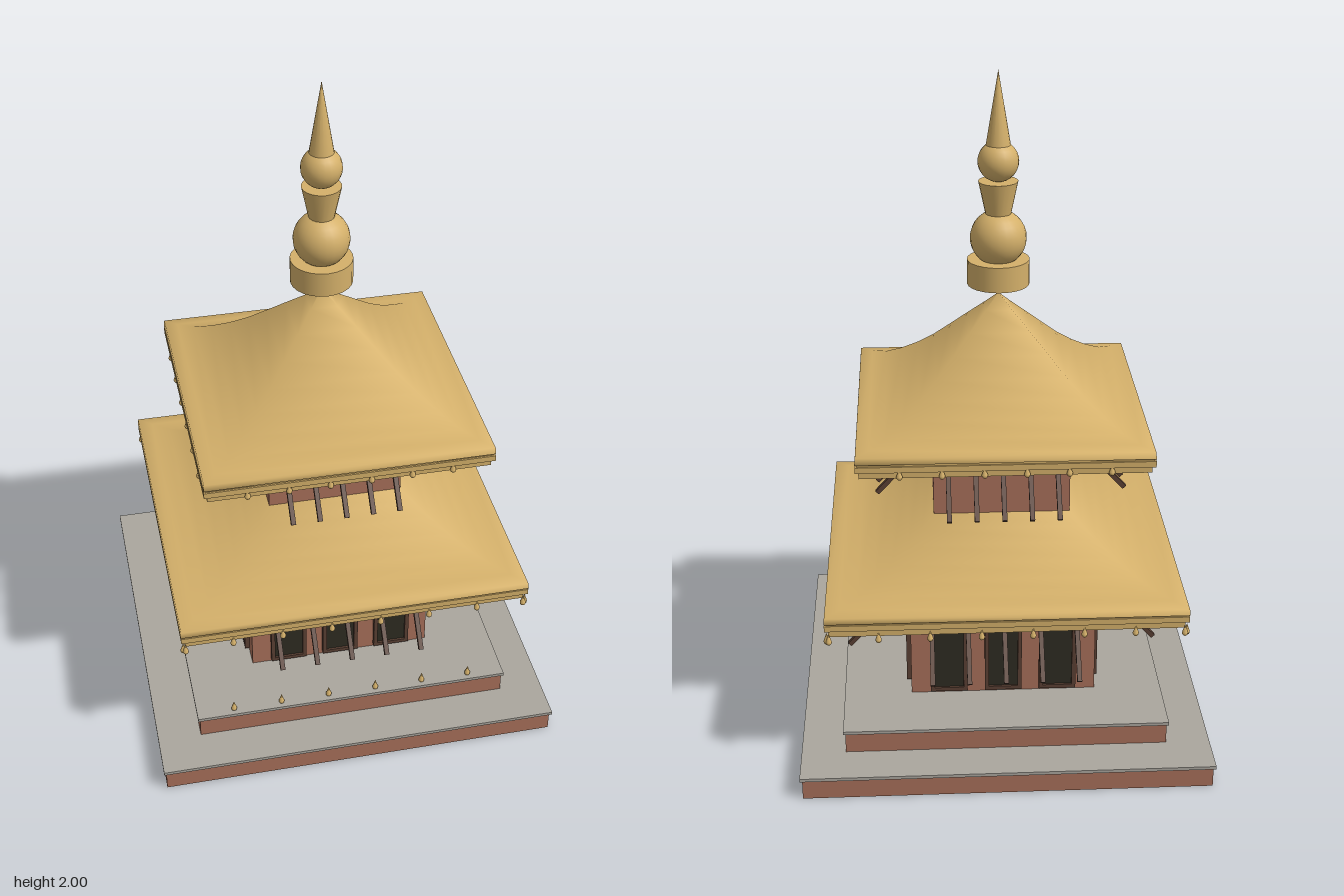
import * as THREE from 'three';

const mat = (name, color) => {
  const m = new THREE.MeshStandardMaterial({ color });
  m.name = name;
  return m;
};

export function createModel() {
  const gold = mat('gold', 0xd4b06a);
  const brick = mat('brick', 0xa8705a);
  const stone = mat('stone', 0xaaa69e);
  const wood = mat('dark wood', 0x5a4033);
  const dark = mat('door shadow', 0x2e2c22);

  const model = new THREE.Group();
  model.name = 'pagoda';

  const add = (parent, name, geo, material, x = 0, y = 0, z = 0) => {
    const mesh = new THREE.Mesh(geo, material);
    mesh.name = name;
    mesh.position.set(x, y, z);
    parent.add(mesh);
    return mesh;
  };
  // Box given by its bottom and top heights
  const block = (parent, name, w, y0, y1, d, material, x = 0, z = 0) =>
    add(parent, name, new THREE.BoxGeometry(w, y1 - y0, d), material, x, (y0 + y1) / 2, z);
  const square = (name, half, y0, y1, material) =>
    block(model, name, half * 2, y0, y1, half * 2, material);

  // Builds the same part on all four sides
  const fourSides = (name, build) => {
    for (let i = 0; i < 4; i++) {
      const side = new THREE.Group();
      side.name = name;
      side.rotation.y = (i * Math.PI) / 2;
      build(side);
      model.add(side);
    }
  };

  // Square roof swept from a half-width profile, smooth over the hips
  const roof = (name, profile) => {
    const pts = profile.map(([r, y]) => new THREE.Vector2(r * Math.SQRT2, y));
    add(model, name, new THREE.LatheGeometry(pts, 4, Math.PI / 4), gold);
  };

  // Thin bar slanting from the wall out to a free lower end
  const strut = (parent, x, z0, y0, z1, y1) => {
    const bar = add(parent, 'strut', new THREE.BoxGeometry(0.014, Math.hypot(z1 - z0, y1 - y0), 0.014),
      wood, x, (y0 + y1) / 2, (z0 + z1) / 2);
    bar.rotation.x = Math.atan2(z1 - z0, y1 - y0);
  };

  // Small ornament: knob with a pointed tip
  const knob = new THREE.SphereGeometry(0.009, 8, 6);
  const tip = new THREE.ConeGeometry(0.009, 0.026, 8);
  const ornament = (parent, name, x, y, z) => {
    add(parent, name, knob, gold, x, y, z);
    add(parent, name + 'Tip', tip, gold, x, y + 0.015, z);
  };

  // Stepped base
  square('lowerPlinth', 0.602, 0, 0.062, brick);
  square('lowerPaving', 0.609, 0.062, 0.072, stone);
  square('upperPlinth', 0.478, 0.072, 0.135, brick);
  square('upperPaving', 0.484, 0.135, 0.145, stone);
  for (let i = -5; i <= 5; i += 2) ornament(model, 'stepLamp', i * 0.074, 0.153, 0.465);

  // Lower storey
  square('lowerWalls', 0.28, 0.145, 0.52, brick);
  fourSides('lowerFacade', (s) => {
    for (const x of [-0.165, 0, 0.165]) {
      block(s, 'doorPostLeft', 0.012, 0.155, 0.37, 0.016, wood, x + 0.05, 0.286);
      block(s, 'doorPostRight', 0.012, 0.155, 0.37, 0.016, wood, x - 0.05, 0.286);
      block(s, 'doorHead', 0.112, 0.36, 0.4, 0.012, wood, x, 0.284);
      block(s, 'doorSill', 0.112, 0.155, 0.167, 0.016, wood, x, 0.286);
      block(s, 'doorPanel', 0.09, 0.165, 0.362, 0.008, dark, x, 0.283);
      block(s, 'lintel', x ? 0.155 : 0.15, 0.41, 0.443, 0.02, gold, x, 0.286);
    }
    for (let i = -2; i <= 2; i++) strut(s, i * 0.108, 0.28, 0.492, 0.466, 0.285);
  });

  // Lower roof and its layered eaves
  square('lowerCeiling', 0.36, 0.482, 0.492, wood);
  square('lowerEaveBottom', 0.513, 0.488, 0.511, gold);
  square('lowerEaveMiddle', 0.524, 0.511, 0.529, gold);
  square('lowerEaveTop', 0.519, 0.529, 0.534, gold);
  roof('lowerRoof', [[0.525, 0.534], [0.523, 0.553], [0.48, 0.559], [0.43, 0.568], [0.38, 0.588],
    [0.33, 0.617], [0.28, 0.652], [0.24, 0.684], [0.2, 0.72]]);

  // Upper storey
  square('upperWalls', 0.203, 0.7, 0.96, brick);
  fourSides('upperFacade', (s) => {
    block(s, 'windowFrame', 0.25, 0.85, 0.942, 0.018, wood, 0, 0.208);
    for (let i = -2; i <= 2; i++) strut(s, i * 0.08, 0.215, 0.942, 0.37, 0.772);
  });

  // Upper roof and its layered eaves
  square('upperCeiling', 0.28, 0.932, 0.943, wood);
  square('upperEaveBottom', 0.415, 0.939, 0.96, gold);
  square('upperEaveMiddle', 0.425, 0.96, 0.978, gold);
  square('upperEaveTop', 0.42, 0.978, 0.985, gold);
  roof('upperRoof', [[0.425, 0.985], [0.423, 1.006], [0.385, 1.012], [0.34, 1.026], [0.29, 1.057],
    [0.24, 1.095], [0.19, 1.14], [0.14, 1.192], [0.09, 1.245], [0.04, 1.297], [0.0001, 1.34]]);

  // Ornaments along both eaves
  fourSides('eaveOrnaments', (s) => {
    for (let i = -7; i <= 7; i += 2) ornament(s, 'lowerBell', i * 0.074, 0.474, 0.512);
    for (let i = -5; i <= 5; i += 2) ornament(s, 'upperBell', i * 0.06, 0.944, 0.42);
  });

  // Finial
  add(model, 'finialDrum', new THREE.CylinderGeometry(0.092, 0.092, 0.076, 24), gold, 0, 1.407, 0);
  add(model, 'finialLowerBall', new THREE.SphereGeometry(0.083, 24, 16), gold, 0, 1.509, 0);
  add(model, 'finialNeck', new THREE.CylinderGeometry(0.058, 0.037, 0.1, 20), gold, 0, 1.629, 0);
  add(model, 'finialUpperBall', new THREE.SphereGeometry(0.06, 20, 14), gold, 0, 1.737, 0);
  add(model, 'finialSpire', new THREE.ConeGeometry(0.036, 0.215, 16), gold, 0, 1.8925, 0);

  return model;
}
